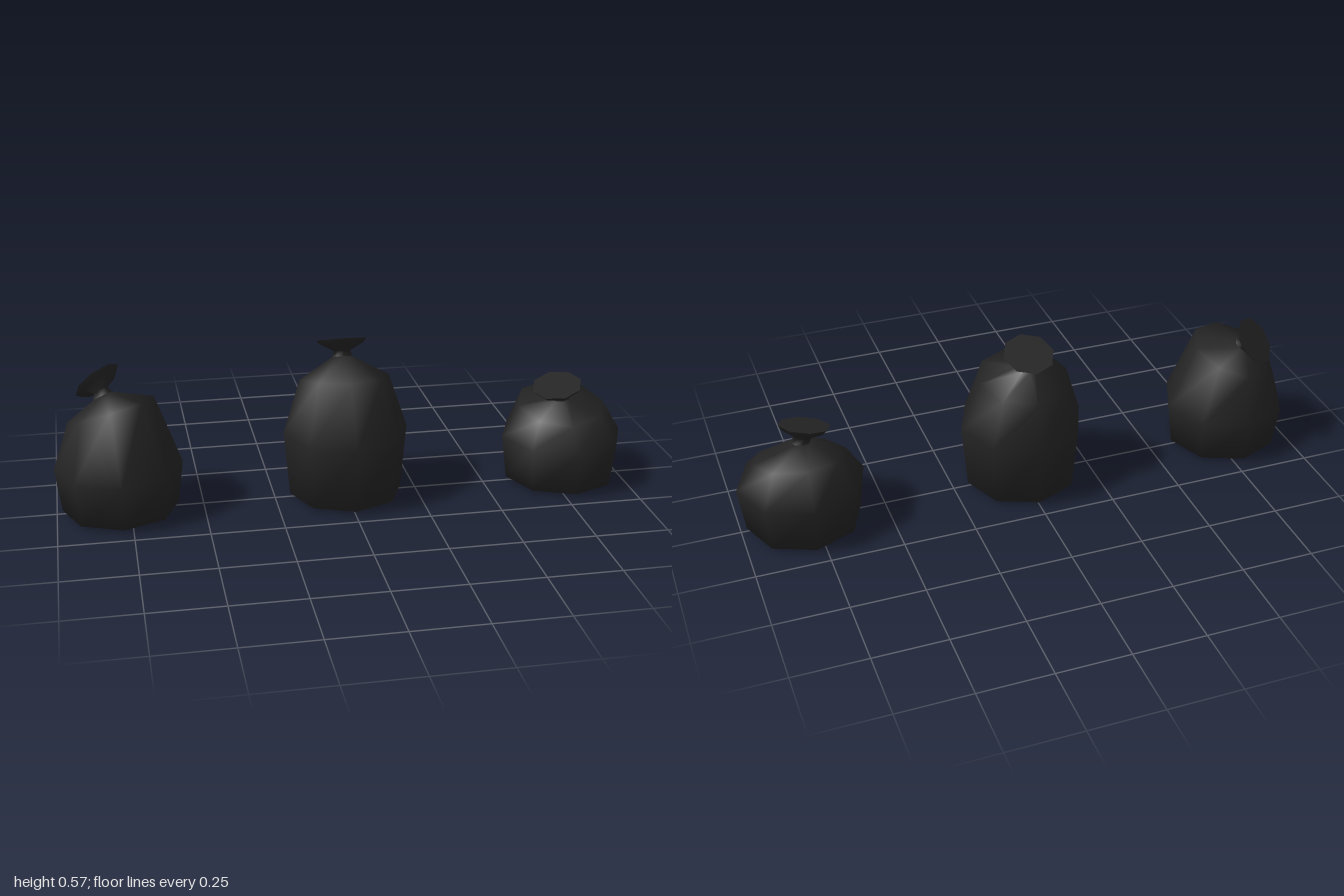
import * as THREE from 'three';

const SIDES = 8;
const UP = new THREE.Vector3(0, 1, 0);
const plastic = new THREE.MeshStandardMaterial({ color: 0x232323 });
plastic.name = 'black plastic';

// One tilted octagon: centre, radius, and slope of its plane along x and z
function ringPoints([x, y, z, r, sx = 0, sz = 0]) {
  const tilt = new THREE.Quaternion().setFromUnitVectors(UP, new THREE.Vector3(-sx, 1, -sz).normalize());
  const points = [];
  for (let i = 0; i < SIDES; i++) {
    const a = (i / SIDES) * Math.PI * 2;
    points.push(new THREE.Vector3(Math.sin(a) * r, 0, Math.cos(a) * r).applyQuaternion(tilt).add(new THREE.Vector3(x, y, z)));
  }
  return points;
}

function geometryFrom(points, index) {
  const g = new THREE.BufferGeometry().setFromPoints(points);
  g.setIndex(index);
  g.computeVertexNormals();
  return g;
}

// Skin over rings listed from bottom to top; optional centre point closes the base
function skin(rings, baseCentre) {
  const points = rings.flatMap(ringPoints);
  const index = [];
  for (let k = 0; k < rings.length - 1; k++) {
    for (let i = 0; i < SIDES; i++) {
      const a = k * SIDES + i, b = k * SIDES + (i + 1) % SIDES;
      index.push(a, b, b + SIDES, a, b + SIDES, a + SIDES);
    }
  }
  if (baseCentre) {
    points.push(baseCentre);
    for (let i = 0; i < SIDES; i++) index.push(points.length - 1, (i + 1) % SIDES, i);
  }
  return geometryFrom(points, index);
}

// Flat disc closing the gathered top
function cap(ring) {
  const points = ringPoints(ring);
  const index = [];
  for (let i = 1; i < SIDES - 1; i++) index.push(0, i, i + 1);
  return geometryFrom(points, index);
}

// Bag: belly height, then shoulder, neck base, tie, flare and rim rings
function makeBag(name, x, belly, shoulder, neck, tie, flare, rim) {
  const bag = new THREE.Group();
  bag.name = name;
  bag.position.x = x;
  const add = (part, geometry) => {
    const mesh = new THREE.Mesh(geometry, plastic);
    mesh.name = part;
    bag.add(mesh);
  };
  add('sack', skin([[0, 0.013, 0, 0.197], [0, belly, 0, 0.217], shoulder, neck], new THREE.Vector3(0, 0, 0)));
  add('gatheredNeck', skin([neck, tie, flare, rim]));
  add('neckCap', cap(rim));
  return bag;
}

export function createModel() {
  const model = new THREE.Group();
  model.name = 'garbageBags';
  model.add(
    makeBag('leaningBag', -0.783, 0.165,
      [-0.015, 0.365, -0.015, 0.15, 0.25, 0.25],
      [-0.04, 0.4, -0.048, 0.036, 0.45, 0.45],
      [-0.045, 0.415, -0.062, 0.028, 0.6, 0.65],
      [-0.048, 0.43, -0.088, 0.073, 0.8, 0.9],
      [-0.053, 0.441, -0.1, 0.088, 0.8, 0.9]),
    makeBag('tallBag', 0, 0.24,
      [0, 0.424, -0.022, 0.156, 0, 0.19],
      [0, 0.486, -0.058, 0.034, 0, 0.36],
      [0, 0.506, -0.062, 0.029, 0, 0.33],
      [0, 0.529, -0.07, 0.075, 0, 0.37],
      [0, 0.541, -0.078, 0.088, 0, 0.38]),
    makeBag('shortBag', 0.783, 0.17,
      [0, 0.275, -0.02, 0.155, 0, -0.22],
      [-0.015, 0.308, 0.015, 0.034, 0.05, -0.1],
      [-0.022, 0.325, 0.015, 0.028, 0.15, -0.15],
      [-0.03, 0.343, 0.023, 0.073, 0.2, -0.22],
      [-0.033, 0.36, 0.027, 0.088, 0.2, -0.22]),
  );
  return model;
}
